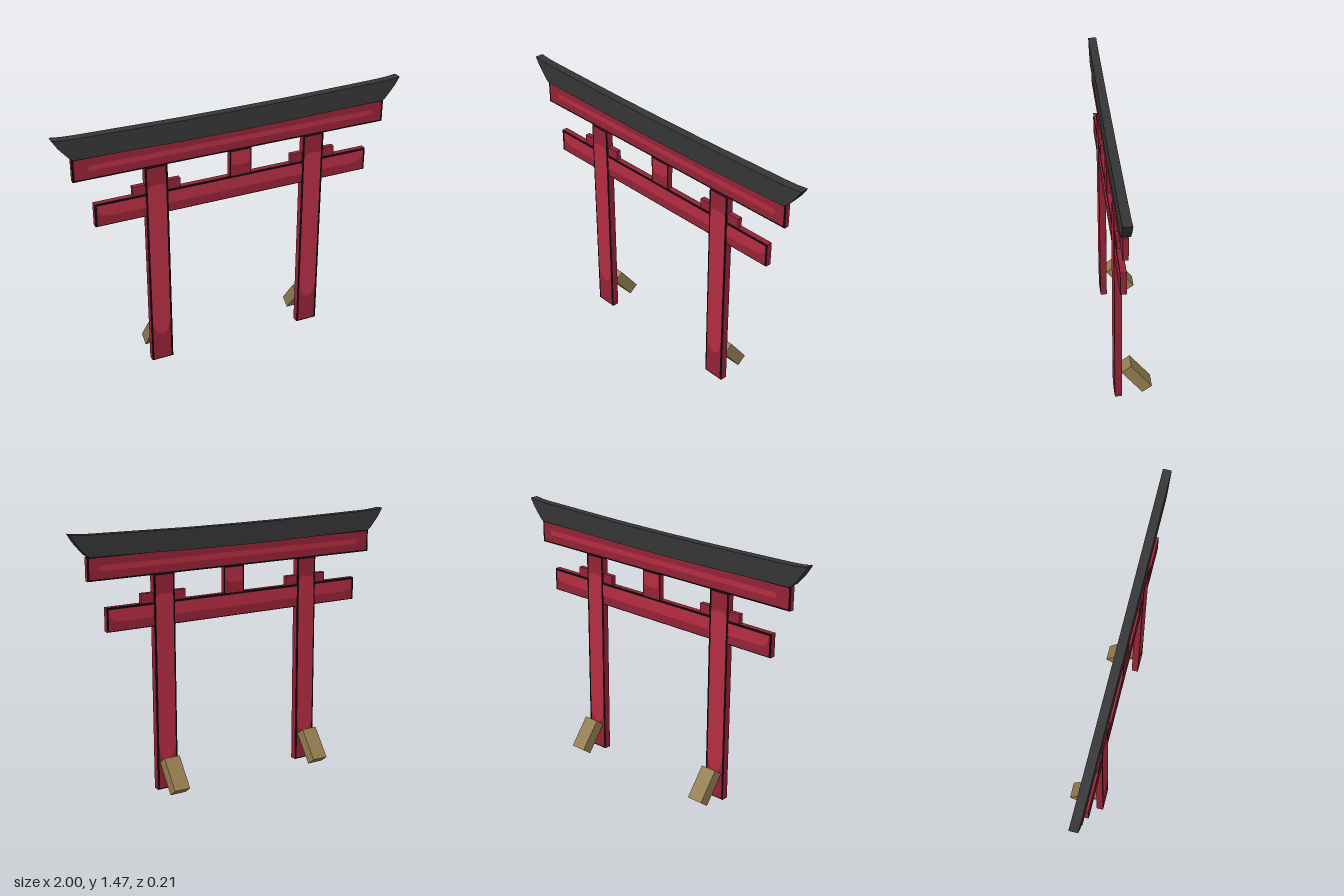
import * as THREE from 'three';

const mat = (name, color, side = THREE.FrontSide) => {
  const m = new THREE.MeshStandardMaterial({ color, side });
  m.name = name;
  return m;
};

export function createModel() {
  const red = mat('deep red', 0x942236, THREE.DoubleSide);
  const bright = mat('bright red', 0xb52d42, THREE.DoubleSide);
  const black = mat('outline black', 0x0a0a0a, THREE.DoubleSide);
  const slate = mat('roof grey', 0x353535);
  const wood = mat('prop wood', 0x937c4f);

  const gate = new THREE.Group();
  gate.name = 'gate';
  const MID = 0.085; // centre plane of the flat gate

  const shapeOf = pts => new THREE.Shape(pts.map(p => new THREE.Vector2(p[0], p[1])));
  const rect = (x0, x1, y0, y1) => shapeOf([[x0, y0], [x1, y0], [x1, y1], [x0, y1]]);

  // slab of the given thickness, centred on the gate plane
  function slab(name, shape, depth, material, parent = gate) {
    const geo = new THREE.ExtrudeGeometry(shape, { depth, bevelEnabled: false });
    geo.translate(0, 0, MID - depth / 2);
    const mesh = new THREE.Mesh(geo, material);
    mesh.name = name;
    parent.add(mesh);
  }

  // the same painted area on the front and the back
  function paint(name, shape, offset, material, parent) {
    for (const s of [1, -1]) {
      const mesh = new THREE.Mesh(new THREE.ShapeGeometry(shape), material);
      mesh.position.z = MID + s * offset;
      mesh.name = name + (s > 0 ? 'Front' : 'Back');
      parent.add(mesh);
    }
  }

  // board: red sides, black rim on both faces, red field and bright patch
  // rim: left, right, bottom, top widths
  function board(name, [x0, x1, y0, y1], depth, rim, patch) {
    const g = new THREE.Group();
    g.name = name;
    gate.add(g);
    slab('core', rect(x0, x1, y0, y1), depth, [black, red], g);
    paint('field', rect(x0 + rim[0], x1 - rim[1], y0 + rim[2], y1 - rim[3]), depth / 2 + 0.001, red, g);
    if (patch) paint('highlight', shapeOf(patch), depth / 2 + 0.002, bright, g);
  }

  // upper beam under the roof
  board('upperBeam', [-0.905, 0.908, 1.22, 1.35], 0.028, [0.011, 0.011, 0.009, 0.01],
    [[-0.81, 1.27], [0.83, 1.27], [0.845, 1.285], [0.83, 1.3], [-0.81, 1.3], [-0.825, 1.285]]);

  // lower beam
  board('lowerBeam', [-0.802, 0.808, 0.94, 1.072], 0.032, [0.012, 0.01, 0.005, 0.012],
    [[-0.72, 0.993], [0.72, 0.993], [0.765, 1.0], [0.79, 1.02], [0.795, 1.059],
      [-0.785, 1.059], [-0.78, 1.02], [-0.76, 1.0]]);

  // centre strut
  board('centreStrut', [-0.035, 0.093, 1.066, 1.222], 0.03, [0.006, 0.006, 0.005, 0.007],
    [[-0.022, 1.145], [0.0, 1.132], [0.06, 1.132], [0.085, 1.15], [0.085, 1.212], [-0.022, 1.212]]);

  for (const [side, cx] of [['right', -0.457], ['left', 0.469]]) {
    // wedge block crossing the post above the lower beam
    slab(side + 'Wedge', rect(cx - 0.133, cx + 0.135, 1.066, 1.125), 0.028, red);

    // post
    board(side + 'Post', [cx - 0.063, cx + 0.063, 0, 1.222], 0.039, [0.01, 0.012, 0.007, 0.006],
      [[cx - 0.053, 0.25], [cx - 0.035, 0.19], [cx - 0.015, 0.17], [cx + 0.015, 0.17],
        [cx + 0.035, 0.19], [cx + 0.051, 0.25], [cx + 0.051, 1.1], [cx + 0.03, 1.115],
        [cx - 0.03, 1.115], [cx - 0.053, 1.1]]);

    // leaning prop behind the post
    const prop = new THREE.Mesh(new THREE.BoxGeometry(0.094, 0.194, 0.067), wood);
    prop.name = side + 'Prop';
    prop.position.set(cx, 0.103, -0.02);
    prop.rotation.x = 0.646;
    gate.add(prop);
  }

  // gently sagging roof with flared ends
  const halfTop = [[0.3, 1.453], [0.6, 1.458], [0.88, 1.463], [0.94, 1.466], [1, 1.473]];
  const halfEnd = [[0.97, 1.425], [0.915, 1.36], [0.895, 1.347], [0.6, 1.343], [0.3, 1.337]];
  const half = [...halfTop, ...halfEnd];
  const mirrored = half.map(([x, y]) => [-x, y]).reverse();
  slab('roof', shapeOf([[0, 1.452], ...half, [0, 1.335], ...mirrored]), 0.048, slate);

  return gate;
}
